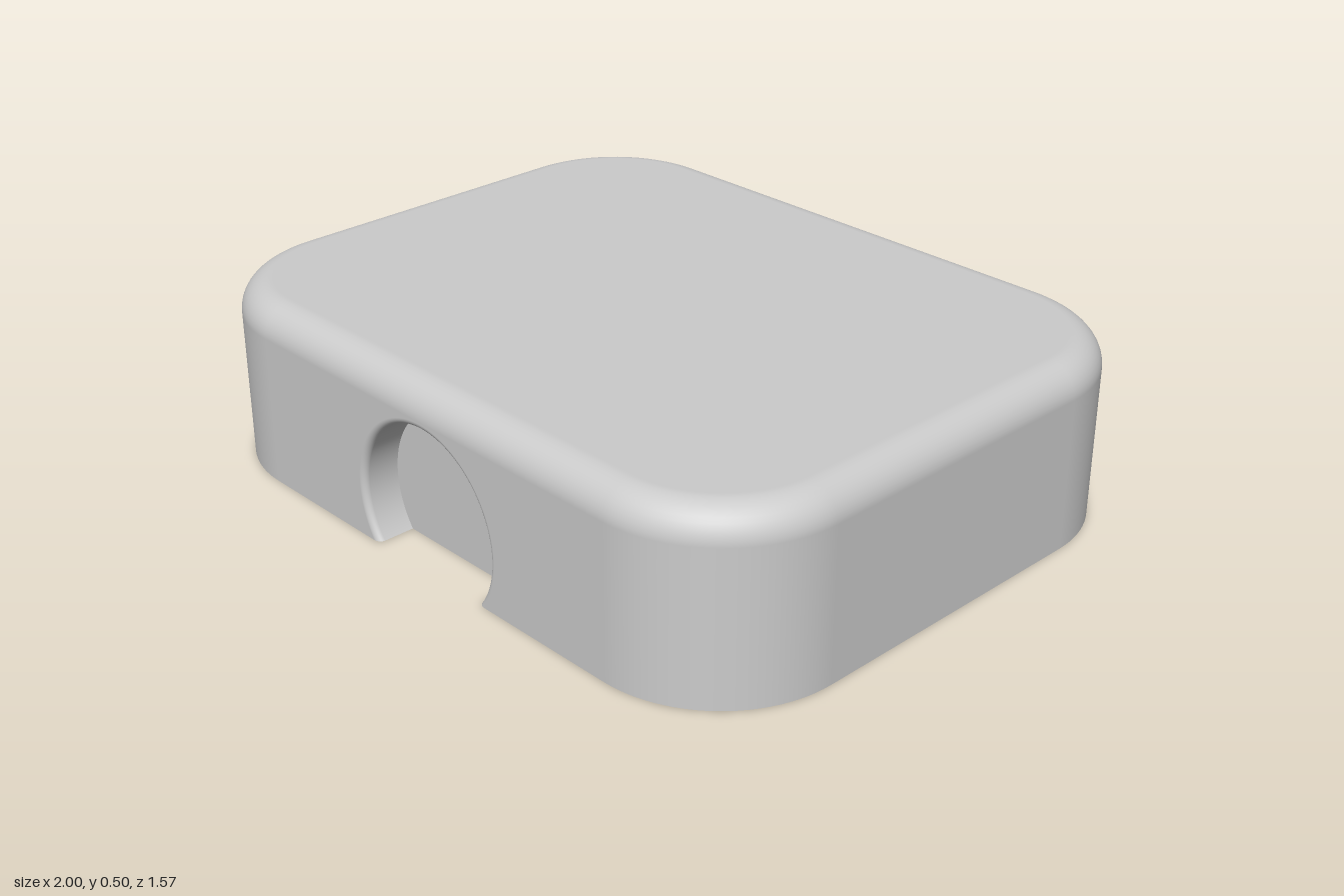
import * as THREE from 'three';

const X = 1, Z = 0.785, H = 0.5;          // half width, half depth, height
const R = 0.36, F = 0.085;                // corner radius, top edge fillet
const CY = 0.147, NR = 0.245, NF = 0.018, ND = 0.105; // notch centre, radius, lip fillet, depth
const SEG = 24, FILLET = 10, ARC = 72;
const material = new THREE.MeshStandardMaterial({ color: 0xcccccc });

// Surface through rows of {p, n}; faces look along (row direction x column direction).
function grid(rows) {
  const pos = [], nor = [], idx = [], cols = rows[0].length;
  rows.flat().forEach(({ p, n }) => { pos.push(...p); nor.push(...n); });
  for (let i = 0; i < rows.length - 1; i++) {
    for (let j = 0; j < cols - 1; j++) {
      const a = i * cols + j, b = a + cols;
      idx.push(a, b, b + 1, a, b + 1, a + 1);
    }
  }
  const g = new THREE.BufferGeometry();
  g.setAttribute('position', new THREE.Float32BufferAttribute(pos, 3));
  g.setAttribute('normal', new THREE.Float32BufferAttribute(nor, 3));
  g.setIndex(idx);
  return g;
}

function flat(points) {
  return new THREE.ShapeGeometry(new THREE.Shape(points.map(([x, y]) => new THREE.Vector2(x, y))));
}

function part(name, geometry) {
  const m = new THREE.Mesh(geometry, material);
  m.name = name;
  return m;
}

// One rounded corner of the footprint (k = 0..3), at fillet angle t and height y.
function corner(k, t, y) {
  const cx = (k < 2 ? 1 : -1) * (X - R), cz = (k === 1 || k === 2 ? 1 : -1) * (Z - R);
  const r = R - F + F * Math.cos(t), out = [];
  for (let i = 0; i <= SEG; i++) {
    const a = (k - 1 + i / SEG) * Math.PI / 2, c = Math.cos(a), s = Math.sin(a);
    out.push({ p: [cx + r * c, y, cz + r * s], n: [c * Math.cos(t), Math.sin(t), s * Math.cos(t)] });
  }
  return out;
}

function ring(t, y) {
  const pts = [0, 1, 2, 3].flatMap(k => corner(k, t, y));
  return [...pts, pts[0]];
}

// Notch section from the rounded lip inwards: radius, z, and normal (radial, z).
const section = [];
for (let i = 0; i <= 8; i++) {
  const t = i / 8 * Math.PI / 2;
  section.push({ r: NR + NF - NF * Math.sin(t), z: Z - NF * (1 - Math.cos(t)), nr: -Math.sin(t), nz: Math.cos(t) });
}
section.push({ r: NR, z: Z - ND, nr: -1, nz: 0 });

// Arc of a notch circle above the ground, from left to right.
function arc({ r, z, nr, nz }) {
  const low = Math.asin(CY / r), out = [];
  for (let i = 0; i <= ARC; i++) {
    const a = Math.PI + low - (Math.PI + 2 * low) * i / ARC, c = Math.cos(a), s = Math.sin(a);
    out.push({ p: [r * c, CY + r * s, z], n: [nr * c, nr * s, nz] });
  }
  return out;
}

// Flat wall with its recessed round notch.
function notchedWall(name) {
  const g = new THREE.Group();
  g.name = name;
  const xy = a => a.map(({ p }) => [p[0], p[1]]);
  const sx = X - R, h = H - F;
  g.add(part('wallPanel', flat([[-sx, 0], ...xy(arc(section[0])), [sx, 0], [sx, h], [-sx, h]]).translate(0, 0, Z)));
  g.add(part('notchSide', grid(section.map(arc))));
  g.add(part('notchBack', flat(xy(arc(section[section.length - 1]))).translate(0, 0, Z - ND)));
  return g;
}

export function createModel() {
  const model = new THREE.Group();
  model.name = 'roundedBlock';

  // Rounded top edge and flat top
  const rows = [];
  for (let i = 0; i <= FILLET; i++) {
    const t = i / FILLET * Math.PI / 2;
    rows.push(ring(t, H - F + F * Math.sin(t)));
  }
  model.add(part('topEdge', grid(rows)));
  const rim = rows[FILLET].slice(0, -1).map(({ p }) => [p[0], p[2]]);
  model.add(part('top', flat(rim).rotateX(-Math.PI / 2).translate(0, H, 0)));

  // Side walls with their corners
  [['leftWall', 0], ['rightWall', 2]].forEach(([name, k]) => {
    const row = y => [...corner(k, 0, y), ...corner(k + 1, 0, y)];
    model.add(part(name, grid([row(0), row(H - F)])));
  });

  // Front and back walls
  const back = notchedWall('backWall');
  back.rotation.y = Math.PI;
  model.add(notchedWall('frontWall'), back);

  // Underside, cut away at both notches
  const half = section.map(({ r, z }) => [Math.sqrt(r * r - CY * CY), z]);
  const cut = [...half, ...half.map(([x, z]) => [-x, z]).reverse()];
  const side = k => [...corner(k, 0, 0), ...corner(k + 1, 0, 0)].map(({ p }) => [p[0], p[2]]);
  const base = [...side(0), ...cut, ...side(2), ...cut.map(([x, z]) => [-x, -z])];
  model.add(part('underside', flat(base).rotateX(Math.PI / 2)));

  return model;
}
